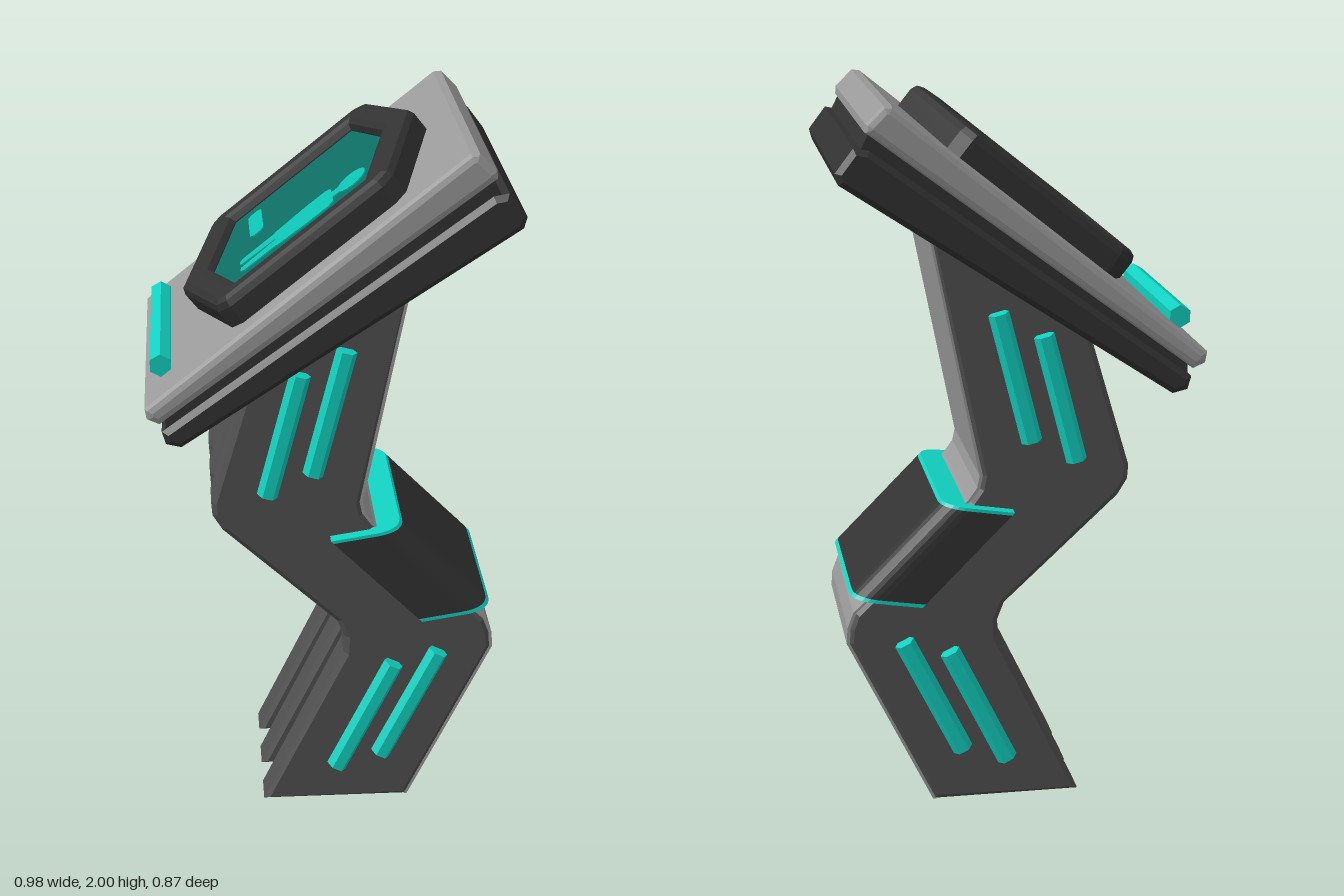
import * as THREE from 'three';

const mat = (name, color, opts = {}) => Object.assign(new THREE.MeshStandardMaterial({ color, ...opts }), { name });

export function createModel() {
  const grey = mat('light grey', 0x999999);
  const dark = mat('dark grey', 0x505050);
  const black = mat('charcoal', 0x323232);
  const teal = mat('teal', 0x12d0c0);
  const screenMat = mat('deep teal', 0x0d6c62);
  const iconMat = mat('icon teal', 0x0cc0af);

  const model = new THREE.Group();
  const add = (parent, name, geo, material) => {
    const m = new THREE.Mesh(geo, material);
    m.name = name;
    parent.add(m);
    return m;
  };
  const toShape = (pts) => new THREE.Shape(pts.map(([x, y]) => new THREE.Vector2(x, y)));
  // Outline extruded from z0 to z1, with a bevel kept inside the outline
  const prism = (shape, z0, z1, b = 0, seg = 1) => {
    const g = new THREE.ExtrudeGeometry(shape, {
      depth: z1 - z0 - 2 * b, bevelEnabled: b > 0, bevelSize: b, bevelThickness: b,
      bevelOffset: -b, bevelSegments: seg, curveSegments: 8,
    });
    return g.translate(0, 0, z0 + b);
  };

  // Zigzag leg: front and back edges of the profile, bottom to top
  const front = [[0.23, 0], [0.468, 0.49], [0.465, 0.535], [0.448, 0.58], [0.125, 0.89], [0.1, 0.925], [0.093, 0.96], [0.237, 1.68]];
  const back = [[-0.19, 0], [0.042, 0.485], [0.044, 0.535], [0.025, 0.585], [-0.295, 0.885], [-0.322, 0.93], [-0.325, 0.97], [-0.2, 1.39]];
  const shift = (pts, d) => pts.map(([x, y]) => [x + d, y]);
  const band = (f, r) => toShape([...f, ...[...r].reverse()]);

  const leg = new THREE.Group();
  leg.name = 'leg';
  model.add(leg);
  const ribShape = band(shift(front, -0.004), back);
  for (const [a, b] of [[-0.25, -0.13], [-0.06, 0.06], [0.13, 0.25]])
    add(leg, 'legRib', prism(ribShape, a, b, 0.015), dark);
  add(leg, 'legCoreLight', prism(band(shift(front, -0.02), shift(back, 0.04)), -0.14, 0.14), teal);
  add(leg, 'legFacePlate', prism(band(front, shift(front, -0.009)), -0.24, 0.24), grey);

  // Light bars on both sides of the leg
  const bars = [
    [-0.172, 1.0, -0.079, 1.355], [-0.047, 1.06, 0.045, 1.42],
    [0.02, 0.125, 0.183, 0.46], [0.147, 0.163, 0.31, 0.495],
  ];
  for (const [x0, y0, x1, y1] of bars) {
    const len = Math.hypot(x1 - x0, y1 - y0);
    for (const s of [-1, 1]) {
      const g = new THREE.CylinderGeometry(0.029, 0.029, len, 6).toNonIndexed();
      g.rotateY(Math.PI / 6);
      g.computeVertexNormals();
      const bar = add(leg, 'sideLightBar', g, teal);
      bar.position.set((x0 + x1) / 2, (y0 + y1) / 2, s * 0.268);
      bar.rotation.z = -Math.atan2(x1 - x0, y1 - y0);
    }
  }

  // Cuff around the middle of the leg: rounded section swept along a slant
  const cuff = new THREE.Group();
  cuff.name = 'cuff';
  model.add(cuff);
  const W = 0.2, H = 0.284, R = 0.08;
  const section = new THREE.Shape();
  section.moveTo(0, -H);
  section.lineTo(W - R, -H);
  section.quadraticCurveTo(W, -H, W, -H + R);
  section.lineTo(W, H - R);
  section.quadraticCurveTo(W, H, W - R, H);
  section.lineTo(0, H);
  const slant = new THREE.Matrix4().makeBasis(
    new THREE.Vector3(0.985, 0.155, 0), new THREE.Vector3(0, 0, 1), new THREE.Vector3(0.258, -0.262, 0),
  ).setPosition(0.002, 0.862, 0);
  for (const [name, a, b, m] of [['cuffTopTrim', 0, 0.03, teal], ['cuffBody', 0.03, 0.965, black], ['cuffBottomTrim', 0.965, 1, teal]])
    add(cuff, name, prism(section, a, b).applyMatrix4(slant), m);

  // Tilted console head: tray, neck seam and top cover
  const head = new THREE.Group();
  head.name = 'consoleHead';
  model.add(head);
  const tray = [[-0.45, 1.265], [-0.44, 1.23], [-0.4, 1.22], [0.48, 1.8], [0.488, 1.83], [0.44, 1.893], [0.4, 1.885]];
  const seam = [[-0.44, 1.25], [0.43, 1.87], [0.395, 1.94], [-0.44, 1.3]];
  const cover = [[-0.493, 1.33], [-0.488, 1.3], [-0.455, 1.285], [0.41, 1.93], [0.408, 1.952], [0.362, 1.998], [0.34, 1.996]];
  add(head, 'headTray', prism(toShape(tray), -0.433, 0.433, 0.015), black);
  add(head, 'headSeam', prism(toShape(seam), -0.415, 0.415), black);
  add(head, 'headCover', prism(toShape(cover), -0.433, 0.433, 0.02, 2), grey);

  // Light bar along the low edge
  const lowBar = new THREE.CylinderGeometry(0.032, 0.032, 0.57, 6).toNonIndexed();
  lowBar.computeVertexNormals();
  lowBar.rotateX(Math.PI / 2);
  add(head, 'lowEdgeLight', lowBar, teal).position.set(-0.45, 1.397, 0);

  // Display lying on the cover, built flat and then tilted
  const display = new THREE.Group();
  display.name = 'display';
  display.position.set(-0.036, 1.698, 0);
  display.rotation.z = 0.675;
  head.add(display);
  const flat = (shape, v0, v1, b, seg) => prism(shape, v0, v1, b, seg).rotateX(-Math.PI / 2);
  const mirror4 = (q) => [
    ...q, ...q.slice(1).reverse().map(([x, y]) => [-x, y]),
    ...q.map(([x, y]) => [-x, -y]), ...q.slice(1).reverse().map(([x, y]) => [x, -y]),
  ];
  const bezel = toShape(mirror4([[0.398, 0], [0.287, 0.33], [0.25, 0.355]]));
  const opening = mirror4([[0.297, 0], [0.21, 0.268]]);
  bezel.holes.push(new THREE.Path(opening.map(([x, y]) => new THREE.Vector2(x, y)).reverse()));
  add(display, 'bezel', flat(bezel, -0.03, 0.078, 0.025, 2), black);
  add(display, 'screen', flat(toShape(mirror4([[0.302, 0], [0.214, 0.272]])), 0.0, 0.05), screenMat);

  // Screen icons
  const icon = (name, shape) => add(display, name, flat(shape, 0.05, 0.054), iconMat);
  const zc = -0.125;
  icon('iconHead', new THREE.Shape().absarc(0.171, zc, 0.047, 0, Math.PI * 2));
  icon('iconNeck', toShape([[0.1, zc - 0.02], [0.128, zc - 0.02], [0.128, zc + 0.02], [0.1, zc + 0.02]]));
  icon('iconTorso', toShape([[-0.085, zc - 0.052], [0.02, zc - 0.063], [0.09, zc - 0.063], [0.107, zc - 0.05],
    [0.107, zc + 0.05], [0.09, zc + 0.063], [0.02, zc + 0.063], [-0.085, zc + 0.052]]));
  for (const s of [-1, 1]) {
    const legPts = [[-0.205, 0.012], [-0.085, 0.003], [-0.085, 0.047], [-0.195, 0.045], [-0.207, 0.035]];
    const pts = legPts.map(([x, y]) => [x, zc + s * y]);
    icon('iconLeg', toShape(pts));
  }
  icon('iconBar', toShape([[-0.165, 0.05], [-0.155, 0.036], [-0.128, 0.036], [-0.118, 0.05],
    [-0.118, 0.2], [-0.128, 0.212], [-0.155, 0.212], [-0.165, 0.2]]));

  return model;
}
